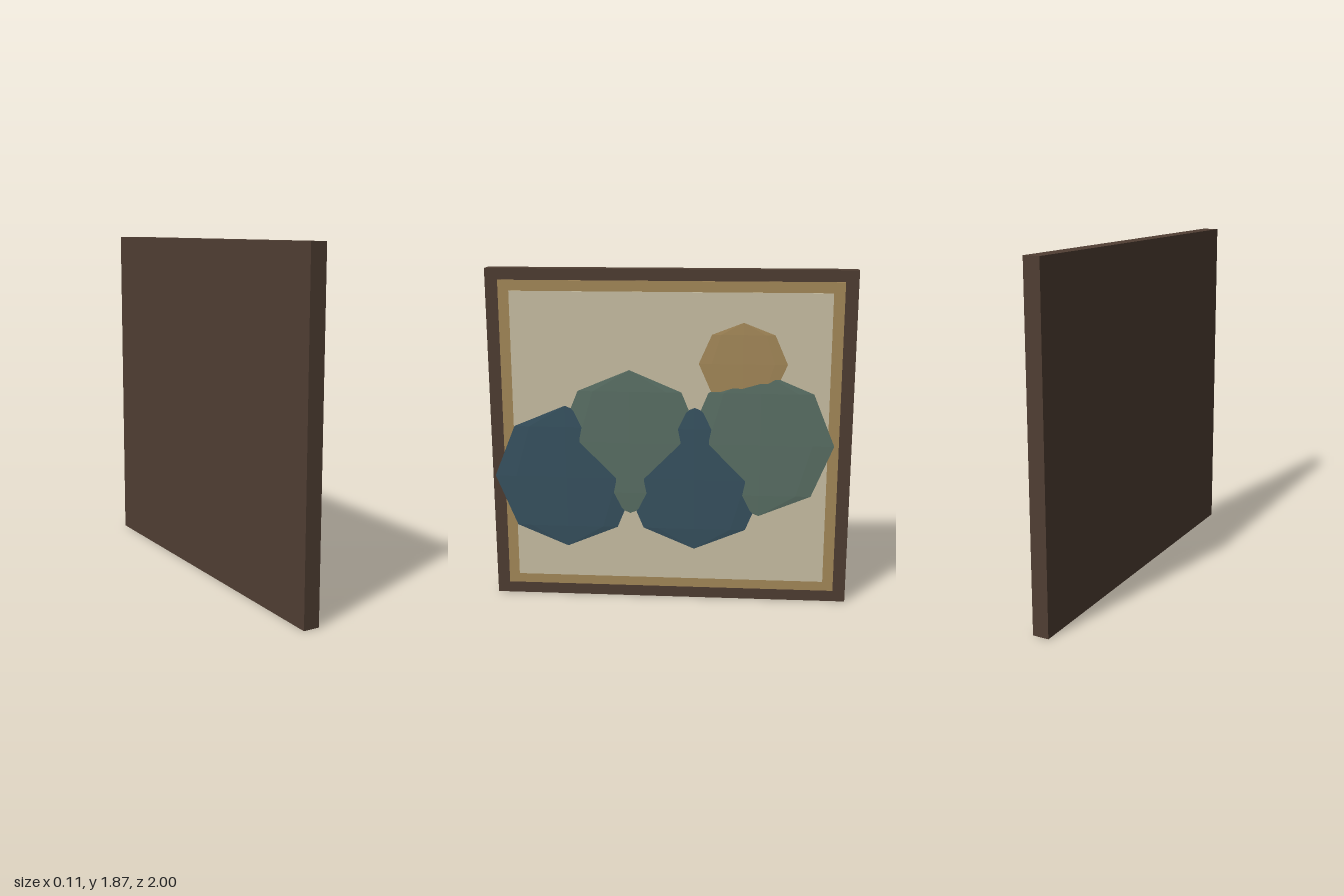
import * as THREE from 'three';

const WALNUT = 0x503e33, GOLD = 0xa68a5a, CREAM = 0xcbc1a5, GREEN = 0x5b7166, BLUE = 0x385361;

function part(name, geometry, color) {
  const mesh = new THREE.Mesh(geometry, new THREE.MeshStandardMaterial({ color, flatShading: true }));
  mesh.name = name;
  return mesh;
}

export function createModel() {
  const group = new THREE.Group();
  group.name = 'framedPicture';

  // Stacked panels, facing +x: name, back x, front x, bottom, top, half width, color
  const panels = [
    ['frame', -0.055, 0.035, 0, 1.87, 1, WALNUT],
    ['innerBorder', 0, 0.04, 0.065, 1.808, 0.93, GOLD],
    ['canvas', 0, 0.044, 0.12, 1.75, 0.87, CREAM],
  ];
  for (const [name, x0, x1, y0, y1, half, color] of panels) {
    const panel = part(name, new THREE.BoxGeometry(x1 - x0, y1 - y0, half * 2), color);
    panel.position.set((x0 + x1) / 2, (y0 + y1) / 2, 0);
    group.add(panel);
  }

  // Flattened low-poly blobs that overlap: name, y, z, half height, half width, color
  const blobs = [
    ['sun', 1.365, -0.4, 0.225, 0.24, GOLD],
    ['hillLeft', 0.915, 0.22, 0.41, 0.405, GREEN],
    ['hillRight', 0.915, -0.5, 0.41, 0.405, GREEN],
    ['waveLeft', 0.71, 0.58, 0.41, 0.405, BLUE],
    ['waveRight', 0.71, -0.14, 0.41, 0.405, BLUE],
  ];
  for (const [name, y, z, ry, rz, color] of blobs) {
    const blob = part(name, new THREE.SphereGeometry(1, 8, 4).scale(rz * 0.02, ry, rz), color);
    blob.position.set(0.0445, y, z);
    group.add(blob);
  }
  return group;
}
